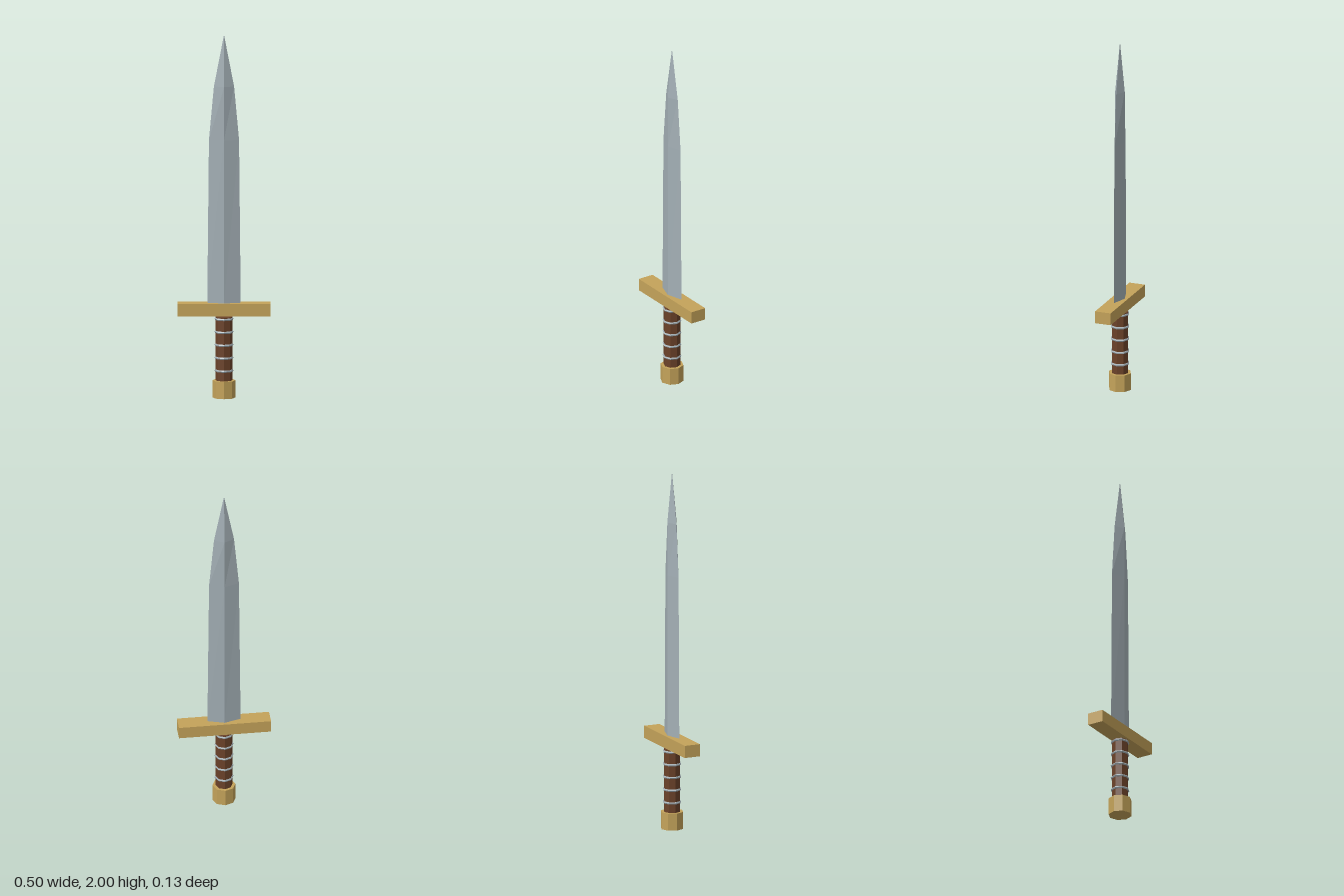
import * as THREE from 'three';

const material = (name, color) => {
  const m = new THREE.MeshStandardMaterial({ color, flatShading: true });
  m.name = name;
  return m;
};

// Diamond cross-sections stacked up to a point
function bladeGeometry(sections, tipY) {
  const corners = sections.map(([y, w, d]) => [[w, y, 0], [0, y, d], [-w, y, 0], [0, y, -d]]);
  const tip = [0, tipY, 0];
  const pos = [];
  const tri = (a, b, c) => pos.push(...a, ...b, ...c);
  for (let i = 0; i < 4; i++) {
    const j = (i + 1) % 4;
    for (let k = 0; k < corners.length - 1; k++) {
      const lo = corners[k], hi = corners[k + 1];
      tri(lo[i], hi[i], lo[j]);
      tri(lo[j], hi[i], hi[j]);
    }
    const last = corners[corners.length - 1];
    tri(last[i], tip, last[j]);
  }
  // base cap
  const [a, b, c, d] = corners[0];
  tri(a, b, c);
  tri(a, c, d);
  const g = new THREE.BufferGeometry();
  g.setAttribute('position', new THREE.Float32BufferAttribute(pos, 3));
  g.computeVertexNormals();
  return g;
}

export function createModel() {
  const gold = material('gold', 0xc4a35a);
  const steel = material('steel', 0xa3afb5);
  const leather = material('leather', 0x6b4229);

  const group = new THREE.Group();
  group.name = 'dagger';
  const add = (name, geometry, mat, y) => {
    const mesh = new THREE.Mesh(geometry, mat);
    mesh.name = name;
    mesh.position.y = y;
    group.add(mesh);
    return mesh;
  };

  // Octagonal pommel and grip
  add('pommel', new THREE.CylinderGeometry(0.063, 0.063, 0.095, 8), gold, 0.0475);
  add('grip', new THREE.CylinderGeometry(0.046, 0.046, 0.385, 8), leather, 0.2525);

  // Wire rings wound around the grip
  for (let i = 0; i < 5; i++) {
    const ring = add('gripRing', new THREE.TorusGeometry(0.045, 0.007, 6, 8), steel, 0.149 + i * 0.0712);
    ring.rotation.x = Math.PI / 2;
  }

  // Crossguard
  add('guard', new THREE.BoxGeometry(0.505, 0.068, 0.091), gold, 0.488);

  // Blade with a central ridge: [height, half width, half thickness]
  const sections = [[0.52, 0.091, 0.028], [1.42, 0.082, 0.028], [1.715, 0.055, 0.028]];
  add('blade', bladeGeometry(sections, 2), steel, 0);

  return group;
}
